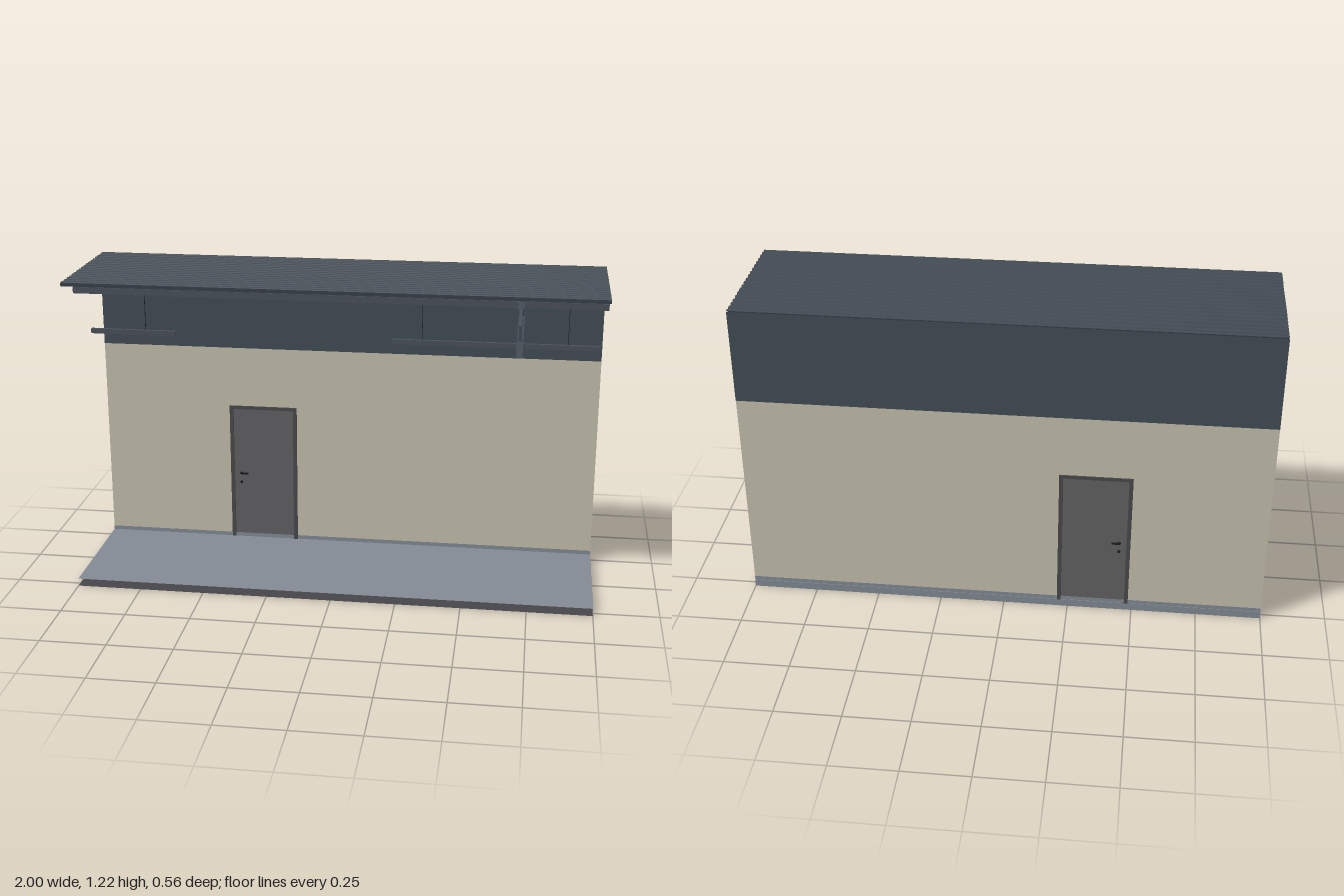
import * as THREE from 'three';

const paint = (color, flatShading = true) =>
  new THREE.MeshStandardMaterial({ color, flatShading, side: THREE.DoubleSide });
const beige = paint(0xc4c0ae), slate = paint(0x424c56), stone = paint(0x838a94), under = paint(0x46464a);
const doorGrey = paint(0x626264), frameGrey = paint(0x4a4a4c), black = paint(0x1c1c1e), steel = paint(0x4a515a);

export function createModel() {
  const model = new THREE.Group();

  const add = (name, geometry, material, parent = model) => {
    const mesh = new THREE.Mesh(geometry, material);
    mesh.name = name;
    parent.add(mesh);
    return mesh;
  };
  // Box given by its limits on each axis
  const box = (name, [x0, x1], [y0, y1], [z0, z1], material, parent) =>
    add(name, new THREE.BoxGeometry(x1 - x0, y1 - y0, z1 - z0)
      .translate((x0 + x1) / 2, (y0 + y1) / 2, (z0 + z1) / 2), material, parent);
  // Upright sheet across the full length
  const sheet = (name, y0, y1, z, material) =>
    add(name, new THREE.PlaneGeometry(2, y1 - y0).translate(0, (y0 + y1) / 2, z), material);
  // Level sheet across the full length
  const level = (name, y, z0, z1, material) =>
    add(name, new THREE.PlaneGeometry(2, z1 - z0).rotateX(-Math.PI / 2).translate(0, y, (z0 + z1) / 2), material);
  // Square tube with open ends between two points
  const tube = (name, a, b, w, h, material, parent) => {
    const from = new THREE.Vector3(...a), to = new THREE.Vector3(...b);
    const r = Math.SQRT1_2;
    const g = new THREE.CylinderGeometry(r, r, from.distanceTo(to), 4, 1, true)
      .rotateY(Math.PI / 4).rotateX(Math.PI / 2).scale(w, h, 1);
    const m = add(name, g, material, parent);
    m.position.copy(from).add(to).multiplyScalar(0.5);
    m.lookAt(to);
    return m;
  };

  // Floor: upper and lower sheets with open edges
  level('floorTop', 0.03, -0.24, 0.273, stone);
  level('floorUnderside', 0, -0.273, 0.273, under);

  // Wall: two skins with a door opening
  for (const [name, z] of [['innerWall', -0.24], ['outerWall', -0.271]]) {
    const s = new THREE.Shape([[-1, 0.03], [1, 0.03], [1, 1.06], [-1, 1.06]].map(p => new THREE.Vector2(...p)));
    s.holes.push(new THREE.Path([[-0.48, 0.035], [-0.48, 0.6], [-0.215, 0.6], [-0.215, 0.035]]
      .map(p => new THREE.Vector2(...p))));
    add(name, new THREE.ShapeGeometry(s).translate(0, 0, z), beige);
  }
  level('wallTop', 1.06, -0.271, -0.24, slate);

  // Plinth and skirting
  sheet('plinth', 0, 0.03, -0.274, stone);
  sheet('outerSkirting', 0.03, 0.046, -0.272, stone);
  sheet('innerSkirting', 0.03, 0.046, -0.238, stone);
  level('plinthLedge', 0.03, -0.274, -0.24, stone);

  // Dark band under the roof, both sides
  sheet('innerFascia', 0.85, 1.21, -0.238, slate);
  sheet('outerFascia', 0.85, 1.215, -0.273, slate);
  for (const [a, b] of [[-0.24, -0.238], [-0.273, -0.271]]) level('fasciaEdge', 0.85, a, b, slate);

  // Corrugated roof: trapezoid profile swept along x
  const ribs = 18, pitch = 0.546 / ribs, low = 1.205, high = 1.22;
  const profile = [];
  for (let i = 0; i < ribs; i++) {
    const z = -0.273 + i * pitch;
    profile.push([z, high], [z + pitch * 0.45, high], [z + pitch * 0.6, low], [z + pitch * 0.85, low]);
  }
  profile.push([0.273, high]);
  const pos = [], index = [];
  profile.forEach(([z, y], i) => {
    pos.push(-1, y, z, 1, y, z);
    if (i) {
      const k = 2 * i;
      index.push(k - 2, k, k - 1, k - 1, k, k + 1);
    }
  });
  const roof = new THREE.BufferGeometry();
  roof.setAttribute('position', new THREE.Float32BufferAttribute(pos, 3));
  roof.setIndex(index);
  roof.computeVertexNormals();
  add('corrugatedRoof', roof, slate);

  // Purlin along the length
  tube('purlin', [-1, 1.158, 0.113], [1, 1.158, 0.113], 0.034, 0.024, steel);

  // Roof truss
  const truss = new THREE.Group();
  truss.name = 'truss';
  model.add(truss);
  const tx = 0.685;
  tube('lowerChord', [tx, 1.0125, -0.24], [tx, 1.0125, 0.277], 0.025, 0.025, slate, truss);
  tube('upperChord', [tx, 1.192, -0.24], [tx, 1.192, 0.277], 0.025, 0.025, slate, truss);
  const webs = [
    [1.025, 0.14, 1.18, 0.14], [1.025, -0.233, 1.18, -0.233],
    [1.18, 0.14, 1.03, -0.23], [1.18, 0.14, 1.122, 0.277],
  ];
  for (const [y0, z0, y1, z1] of webs)
    tube('trussWeb', [tx, y0, z0], [tx, y1, z1], 0.011, 0.011, slate, truss);
  box('trussTie', [tx, 0.8], [1.183, 1.189], [0.137, 0.143], slate, truss);

  // Hanging lamps on thin wires
  for (const [x0, x1, wires] of [[0.195, 0.985, [0.31, 0.865]], [-1, -0.66, [-0.78]]]) {
    const lamp = new THREE.Group();
    lamp.name = 'hangingLamp';
    model.add(lamp);
    box('lampBar', [x0, x1], [0.937, 0.956], [-0.081, -0.068], steel, lamp);
    for (const x of wires)
      box('lampWire', [x - 0.001, x + 0.001], [0.956, 1.18], [-0.0755, -0.0735], black, lamp);
  }

  // Door with frame and handles on both faces
  const door = new THREE.Group();
  door.name = 'door';
  model.add(door);
  const depth = [-0.276, -0.234];
  box('doorJamb', [-0.486, -0.471], [0.03, 0.605], depth, frameGrey, door);
  box('doorJamb', [-0.224, -0.209], [0.03, 0.605], depth, frameGrey, door);
  box('doorHead', [-0.471, -0.224], [0.592, 0.605], depth, frameGrey, door);
  box('doorLeaf', [-0.471, -0.224], [0.032, 0.592], [-0.27, -0.24], doorGrey, door);
  for (const [face, out] of [[-0.24, 1], [-0.27, -1]]) {
    for (const [name, y] of [['handleRose', 0.312], ['lockRose', 0.273]])
      add(name, new THREE.CylinderGeometry(0.006, 0.006, 0.004, 12).rotateX(Math.PI / 2)
        .translate(-0.443, y, face + out * 0.002), black, door);
    const z = face + out * 0.006;
    box('doorHandle', [-0.447, -0.414], [0.309, 0.315], [z - 0.003, z + 0.003], black, door);
  }
  return model;
}
